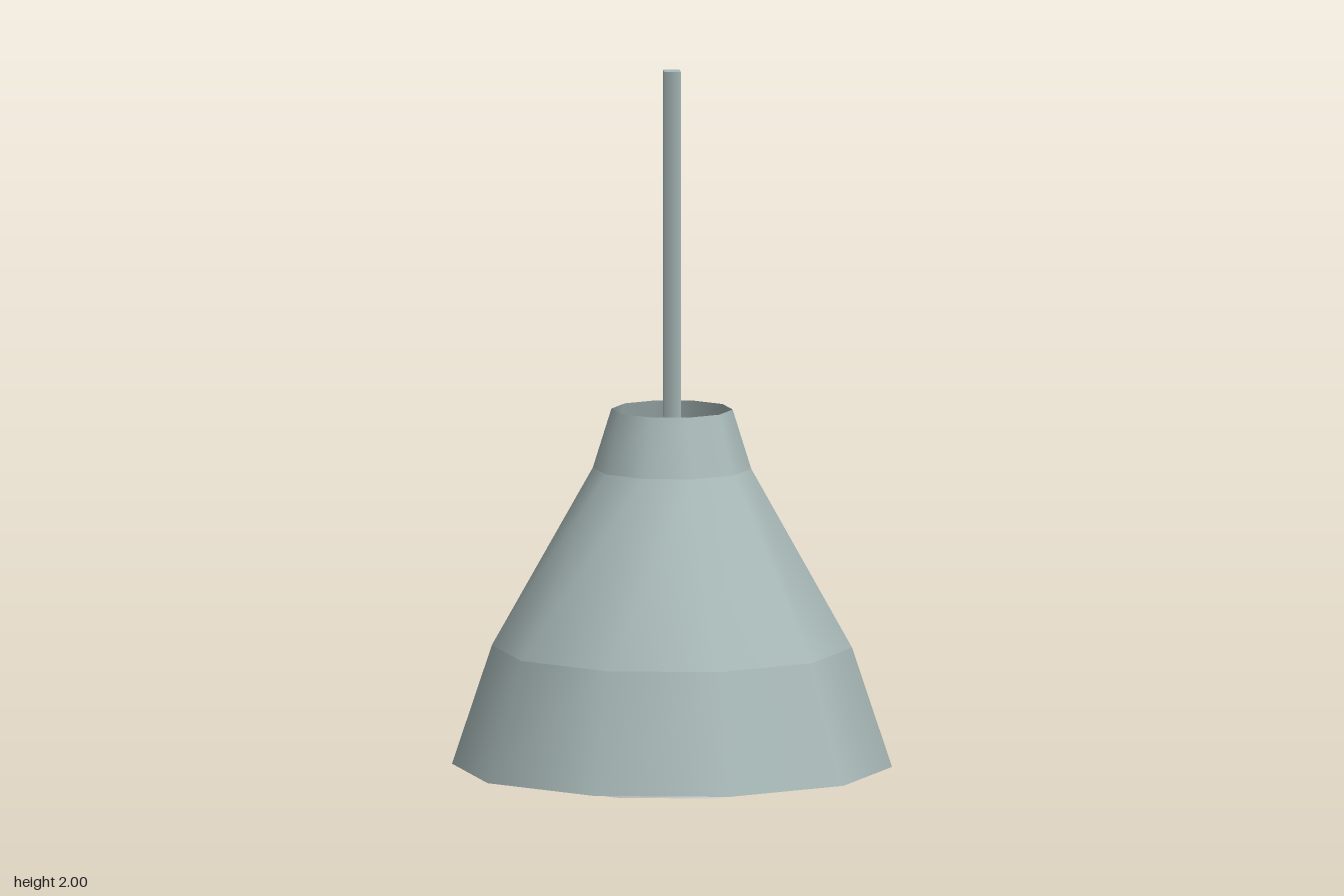
import * as THREE from 'three';

export function createModel() {
  const group = new THREE.Group();
  const shadeMetal = new THREE.MeshStandardMaterial({ color: 0xa8b9b8, side: THREE.DoubleSide });
  shadeMetal.name = 'greyGreenMetal';
  const lightWhite = new THREE.MeshStandardMaterial({ color: 0xececec });
  lightWhite.name = 'lightWhite';

  // Upright cylinder between two heights, with a corner on the x axis
  function addRing(name, parent, rBottom, yBottom, rTop, yTop, sides, open, material) {
    const height = yTop - yBottom;
    const geometry = new THREE.CylinderGeometry(rTop, rBottom, height, sides, 1, open);
    geometry.rotateY(Math.PI / 2);
    geometry.translate(0, yBottom + height / 2, 0);
    const mesh = new THREE.Mesh(geometry, material);
    mesh.name = name;
    parent.add(mesh);
  }

  // Open ten-sided shade: three bands, smooth around and creased between
  const shade = new THREE.Group();
  shade.name = 'shade';
  const profile = [[0.617, 0.033], [0.505, 0.37], [0.222, 0.875], [0.17, 1.042]];
  const bands = ['shadeRim', 'shadeBody', 'shadeNeck'];
  bands.forEach((name, i) => {
    addRing(name, shade, ...profile[i], ...profile[i + 1], 10, true, shadeMetal);
  });
  group.add(shade);

  // Light disc in the mouth of the shade
  addRing('lightDisc', group, 0.422, 0, 0.422, 0.06, 10, false, lightWhite);

  // Four-sided hanging rod
  addRing('hangingRod', group, 0.033, 1.02, 0.033, 2, 4, false, shadeMetal);

  return group;
}
